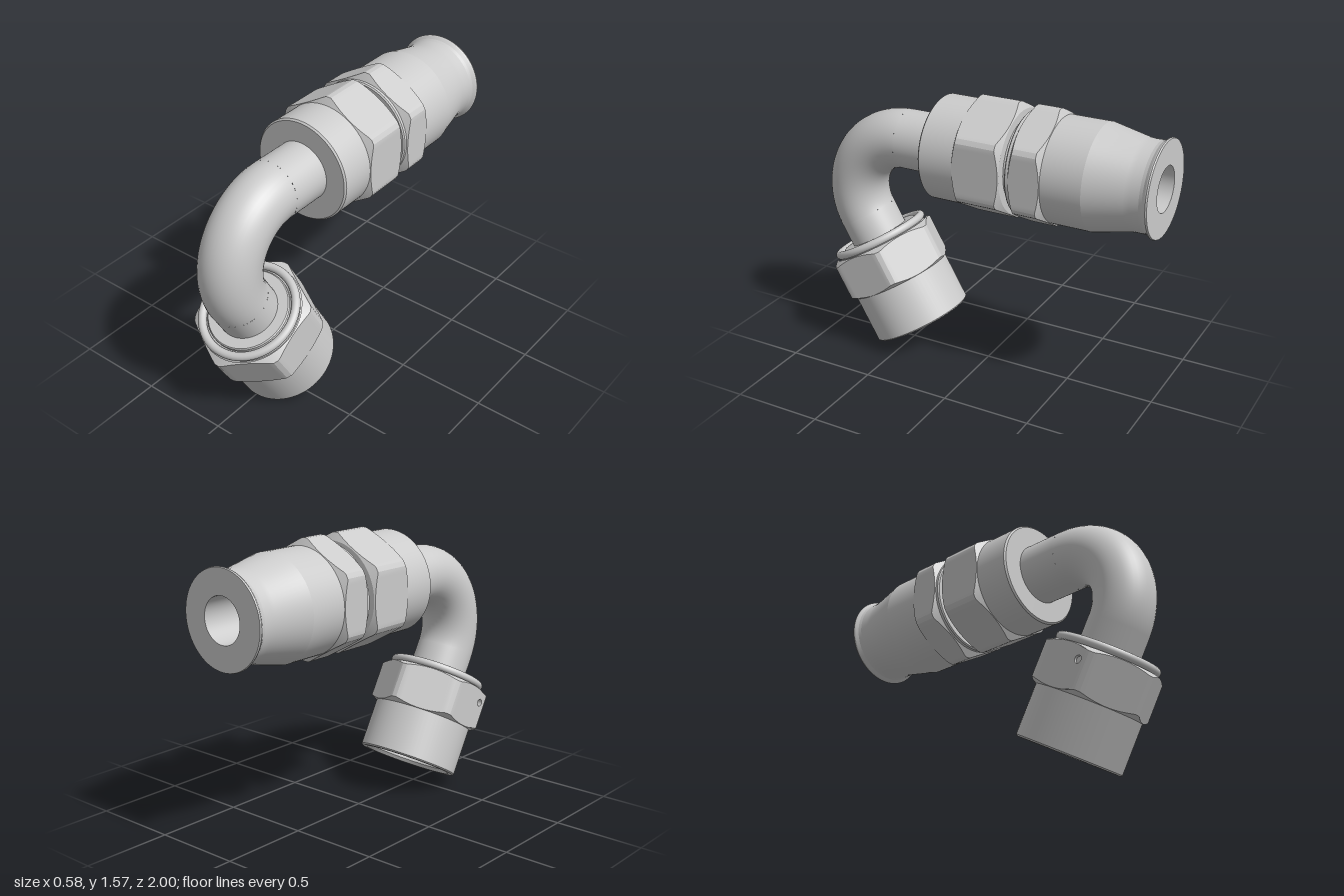
import * as THREE from 'three';
import { toCreasedNormals } from 'three/addons/utils/BufferGeometryUtils.js';

const grey = new THREE.MeshStandardMaterial({ color: 0xcccccc });
const greyBoth = new THREE.MeshStandardMaterial({ color: 0xcccccc, side: THREE.DoubleSide });
const CREASE = 0.15;
const APOTHEM = 0.29, CORNER = 0.325; // hexagon flats and trimmed corners

function addMesh(parent, name, geometry, material = grey) {
  const mesh = new THREE.Mesh(geometry, material);
  mesh.name = name;
  parent.add(mesh);
  return mesh;
}

// Turned part: profile of [radius, distance along axis]
function turned(profile) {
  const points = profile.map(([r, s]) => new THREE.Vector2(r, s));
  return toCreasedNormals(new THREE.LatheGeometry(points, 72), CREASE);
}

const chamfer = (r, r0) => Math.max(0, r - r0) * 0.58;

// Hexagonal band with trimmed corners and conical chamfers, flats facing +x and -x
function hexBand(s0, s1, r0, keep = () => true) {
  const profile = [s0, s0, s1, s1].map((s) => new THREE.Vector2(1, s));
  const geo = new THREE.LatheGeometry(profile, 144);
  const p = geo.attributes.position;
  for (let i = 0; i < p.count; i++) {
    const angle = Math.floor(i / 4) * Math.PI / 72;
    const row = i % 4;
    const sector = Math.PI / 3;
    const off = angle - Math.PI / 2 - sector * Math.round((angle - Math.PI / 2) / sector);
    const hexR = Math.min(APOTHEM / Math.cos(off), CORNER);
    const edge = row === 0 || row === 3;
    const r = edge ? r0 : hexR;
    const c = edge ? 0 : chamfer(hexR, r0);
    p.setXYZ(i, r * Math.sin(angle), row < 2 ? s0 + c : s1 - c, r * Math.cos(angle));
  }
  // leave out the triangles that make room for a drilled patch
  const idx = geo.index.array, kept = [];
  for (let i = 0; i < idx.length; i += 3) {
    const tri = [idx[i], idx[i + 1], idx[i + 2]];
    if (keep(tri.map((v) => new THREE.Vector3().fromBufferAttribute(p, v)))) kept.push(...tri);
  }
  geo.setIndex(kept);
  return toCreasedNormals(geo, CREASE);
}

// Strip of one flat with a small drilled hole, lying on the -x side
function drilledPatch(parent, s0, s1, r0, z0, z1, holeS, holeR) {
  const cut = (z) => chamfer(Math.hypot(APOTHEM, z), r0);
  const shape = new THREE.Shape([
    new THREE.Vector2(z0, s0 + cut(z0)), new THREE.Vector2(z1, s0 + cut(z1)),
    new THREE.Vector2(z1, s1 - cut(z1)), new THREE.Vector2(z0, s1 - cut(z0)),
  ]);
  const mid = (z0 + z1) / 2;
  shape.holes.push(new THREE.Path().absarc(mid, holeS, holeR, 0, Math.PI * 2, true));
  const patch = addMesh(parent, 'drilledFlat', new THREE.ShapeGeometry(shape, 16));
  patch.rotation.y = -Math.PI / 2;
  patch.position.x = -APOTHEM;
  const bore = addMesh(parent, 'wireHole',
    new THREE.CylinderGeometry(holeR, holeR, 0.06, 24, 1, true), greyBoth);
  bore.rotation.z = Math.PI / 2;
  bore.position.set(-APOTHEM + 0.03, holeS, mid);
}

export function createModel() {
  const model = new THREE.Group();
  model.name = 'hoseFitting';
  const axisY = 1.26, tubeR = 0.165, bendR = 0.335, bendZ = 0.5;

  // Bent tube: 120 degree elbow
  const elbow = new THREE.TorusGeometry(bendR, tubeR, 40, 64, Math.PI * 2 / 3);
  elbow.rotateZ(-Math.PI / 6).rotateY(-Math.PI / 2);
  addMesh(model, 'elbowTube', elbow).position.set(0, axisY - bendR, bendZ);

  // Socket end: local y runs towards the back
  const socket = new THREE.Group();
  socket.name = 'hoseSocket';
  socket.rotation.x = -Math.PI / 2;
  socket.position.y = axisY;
  model.add(socket);

  addMesh(socket, 'upperTube', turned([[tubeR, -bendZ], [tubeR, -0.25]]));
  addMesh(socket, 'frontCollar', turned([
    [0.14, -0.27], [0.278, -0.27], [0.287, -0.261], [0.287, -0.05],
  ]));
  addMesh(socket, 'frontHex', hexBand(-0.065, 0.21, 0.284));
  addMesh(socket, 'neck', turned([
    [0.287, -0.06], [0.287, 0.208], [0.235, 0.21], [0.235, 0.24],
    [0.278, 0.24], [0.285, 0.247], [0.285, 0.28],
  ]));
  addMesh(socket, 'rearHex', hexBand(0.262, 0.442, 0.284));
  addMesh(socket, 'hoseSleeve', turned([
    [0.287, 0.27], [0.287, 0.665], [0.243, 0.87], [0.24, 0.9], [0.241, 0.95],
    [0.246, 0.968], [0.258, 0.984], [0.261, 0.992], [0.258, 1.0],
    [0.122, 1.0], [0.122, 0.3], [0, 0.3],
  ]));

  // Swivel nut: local y runs down along the tube from the end of the elbow
  const nut = new THREE.Group();
  nut.name = 'swivelNut';
  nut.rotation.x = -Math.PI * 5 / 6;
  nut.position.set(0, axisY - bendR * 1.5, bendZ + bendR * Math.sin(Math.PI / 3));
  model.add(nut);

  addMesh(nut, 'lowerTube', turned([[tubeR, 0], [tubeR, 0.2]]));
  addMesh(nut, 'nutBody', turned([
    [0.15, 0.138], [0.222, 0.138], [0.228, 0.144], [0.228, 0.162], [0.27, 0.162],
    [0.27, 0.19], [0.287, 0.21], [0.287, 0.692], [0.279, 0.7], [0.252, 0.7],
    [0.235, 0.68], [0.235, 0.46], [0.215, 0.45], [0.215, 0.28], [0, 0.28],
  ]));
  const lip = new THREE.TorusGeometry(0.26, 0.023, 16, 72).rotateX(Math.PI / 2);
  addMesh(nut, 'retainingRing', lip).position.y = 0.15;

  const s0 = 0.172, s1 = 0.42, r0 = 0.284;
  const z0 = -APOTHEM * Math.tan(Math.PI * 25 / 180);
  const z1 = -APOTHEM * Math.tan(Math.PI * 12.5 / 180);
  const inPatch = (v) => Math.abs(v.x + APOTHEM) < 1e-4 && v.z > z0 - 1e-4 && v.z < z1 + 1e-4;
  addMesh(nut, 'nutHex', hexBand(s0, s1, r0, (tri) => !tri.every(inPatch)));
  drilledPatch(nut, s0, s1, r0, z0, z1, 0.25, 0.021);

  return model;
}
